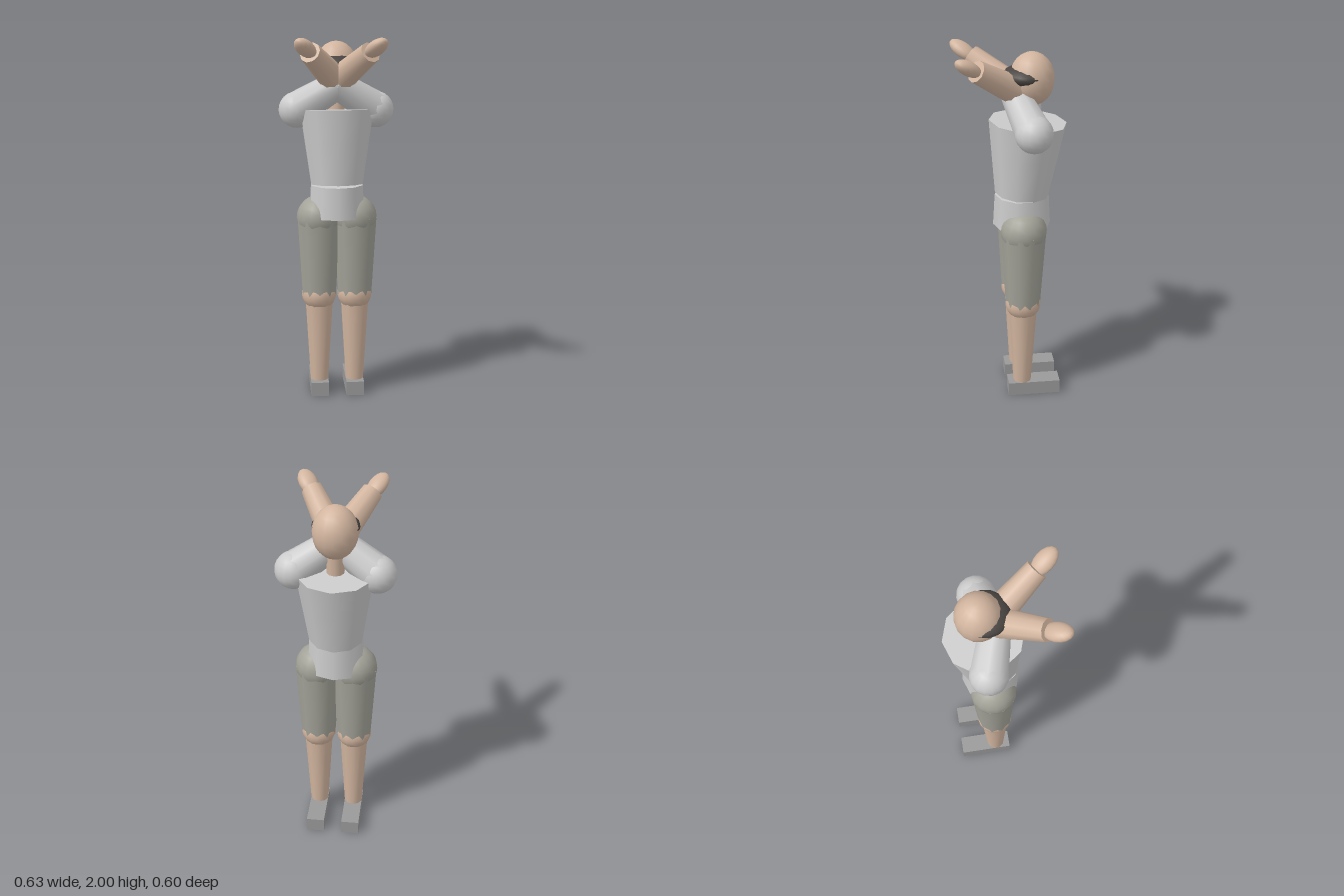
import * as THREE from 'three';

const mat = (color) => new THREE.MeshStandardMaterial({ color });
const V = (x, y, z) => new THREE.Vector3(x, y, z);

export function createModel() {
  const model = new THREE.Group();
  const grey = mat(0xcccccc), skin = mat(0xd2b59f), cloth = mat(0xa2a298);
  const shoe = mat(0x999999), dark = mat(0x4a4542);

  const add = (name, geometry, material, pos) => {
    const mesh = new THREE.Mesh(geometry, material);
    mesh.name = name;
    mesh.position.copy(pos);
    model.add(mesh);
    return mesh;
  };

  // Tapered cylinder running from point a (radius ra) to point b (radius rb)
  const limb = (name, a, b, ra, rb, material) => {
    const dir = b.clone().sub(a);
    const mesh = add(name, new THREE.CylinderGeometry(rb, ra, dir.length(), 10), material,
      a.clone().add(b).multiplyScalar(0.5));
    mesh.quaternion.setFromUnitVectors(V(0, 1, 0), dir.normalize());
    return mesh;
  };

  // Ellipsoid with radii rx, ry, rz
  const ball = (name, pos, rx, ry, rz, material) =>
    add(name, new THREE.SphereGeometry(1, 16, 12).scale(rx, ry, rz), material, pos);

  // Trunk: pelvis, waist and chest leaning slightly back, neck
  limb('pelvis', V(0, 1.03, -0.057), V(0, 1.205, -0.057), 0.157, 0.147, grey);
  const hem = V(0, 1.208, -0.058), collar = V(0, 1.612, -0.0875);
  const mid = hem.clone().lerp(collar, 0.55);
  limb('waist', hem, mid, 0.147, 0.18, grey);
  limb('chest', mid, collar, 0.18, 0.207, grey);
  limb('neck', V(0, 1.58, -0.088), V(0, 1.76, -0.1), 0.047, 0.047, skin);

  // Head with a flattened dark eye band pushed out at the front
  ball('head', V(0, 1.84, -0.107), 0.117, 0.14, 0.118, skin);
  ball('eyeBand', V(0, 1.86, -0.075), 0.122, 0.055, 0.122, dark);

  for (const [side, s] of [['left', 1], ['right', -1]]) {
    // Leg
    ball(side + 'Hip', V(s * 0.1, 1.022, -0.057), 0.122, 0.122, 0.125, cloth);
    limb(side + 'Thigh', V(s * 0.1, 0.585, -0.054), V(s * 0.1, 1.022, -0.057), 0.097, 0.123, cloth);
    ball(side + 'Knee', V(s * 0.1, 0.585, -0.054), 0.097, 0.097, 0.099, skin);
    limb(side + 'Shin', V(s * 0.1, 0.07, -0.052), V(s * 0.1, 0.56, -0.054), 0.051, 0.08, skin);
    add(side + 'Foot', new THREE.BoxGeometry(0.1, 0.08, 0.295), shoe, V(s * 0.1, 0.04, -0.117));

    // Arm folded up in front of the face
    const shoulder = V(s * 0.215, 1.612, -0.092);
    ball(side + 'Shoulder', shoulder, 0.099, 0.099, 0.099, grey);
    limb(side + 'UpperArm', shoulder, V(-s * 0.015, 1.76, -0.018), 0.098, 0.075, grey);
    const elbow = V(s * 0.02, 1.785, -0.02), wrist = V(s * 0.155, 1.93, 0.193);
    limb(side + 'Forearm', elbow, wrist, 0.076, 0.057, skin);

    // Flattened hand pointing along the forearm
    const hand = ball(side + 'Hand', V(s * 0.18, 1.953, 0.233), 0.051, 0.037, 0.083, skin);
    hand.lookAt(hand.position.clone().add(wrist).sub(elbow));
  }
  return model;
}
